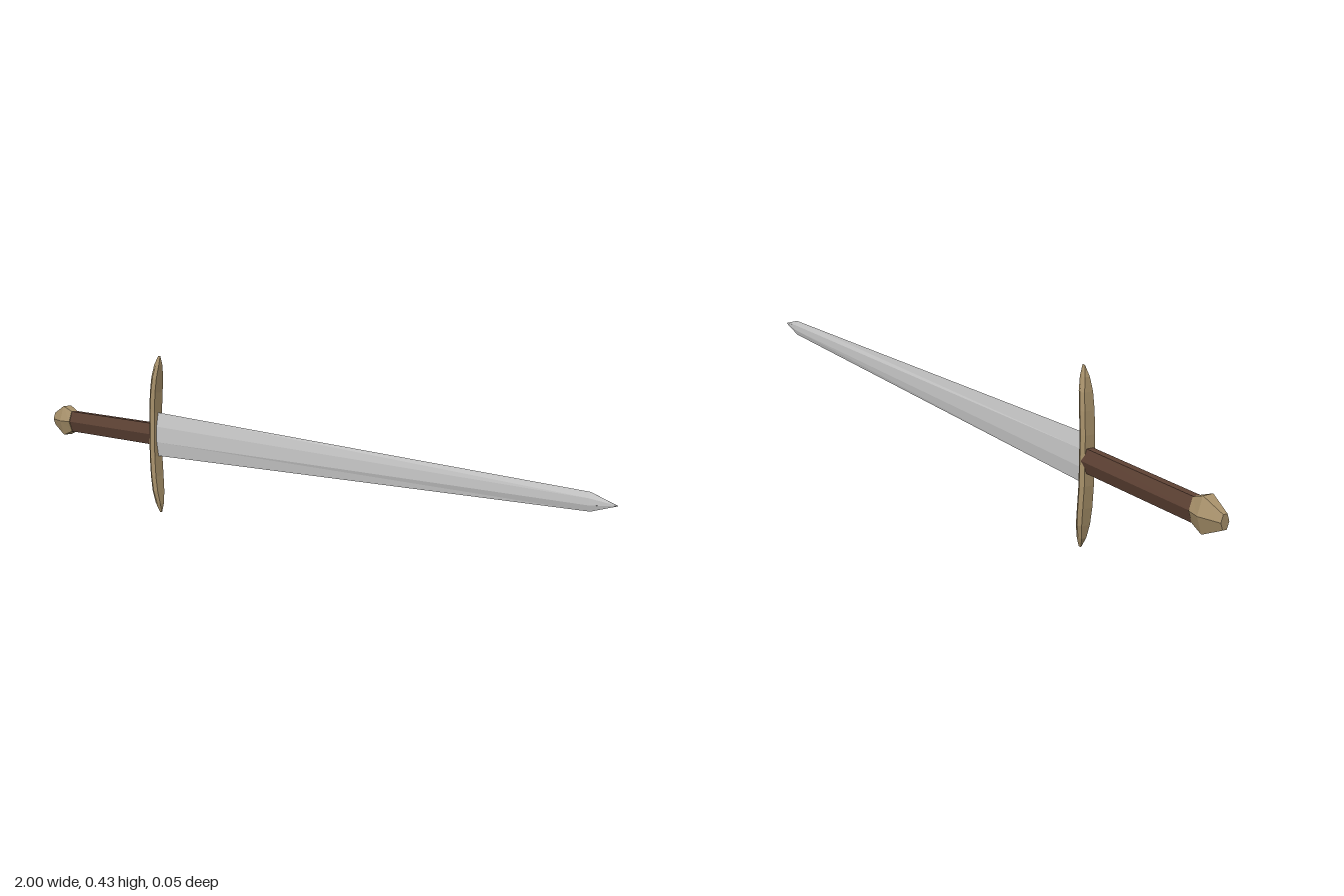
import * as THREE from 'three';

const AXIS_Y = 0.22; // height of the sword's long axis

// Six-sided section, counter-clockwise: points at +-u, flats at +-v
const hexagon = (u, v, flat) => [
  [u, 0], [u * flat, v], [-u * flat, v], [-u, 0], [-u * flat, -v], [u * flat, -v],
];

// Skins a row of equal-length rings of Vector3 and caps both ends
function loft(rings) {
  const points = [];
  const n = rings[0].length;
  const add = (...corners) => corners.forEach((p) => points.push(p.x, p.y, p.z));
  for (let r = 0; r < rings.length - 1; r++) {
    const a = rings[r], b = rings[r + 1];
    for (let i = 0; i < n; i++) {
      const j = (i + 1) % n;
      add(a[i], a[j], b[j]);
      add(a[i], b[j], b[i]);
    }
  }
  const first = rings[0], last = rings[rings.length - 1];
  for (let i = 1; i < n - 1; i++) {
    add(first[0], first[i + 1], first[i]);
    add(last[0], last[i], last[i + 1]);
  }
  const geometry = new THREE.BufferGeometry();
  geometry.setAttribute('position', new THREE.Float32BufferAttribute(points, 3));
  geometry.computeVertexNormals();
  return geometry;
}

// Stations [x, half height, half depth] along the sword
const alongX = (stations, flat) => loft(stations.map(([x, h, d]) =>
  hexagon(h, d, flat).map(([y, z]) => new THREE.Vector3(x, AXIS_Y + y, z))));

// Grip and pommel have their points at front and back, flats above and below
const handleX = (stations) => loft(stations.map(([x, h, d]) =>
  hexagon(d, h, 0.5).map(([z, y]) => new THREE.Vector3(x, AXIS_Y - y, z))));

export function createModel() {
  const sword = new THREE.Group();
  sword.name = 'sword';
  const material = (color) => new THREE.MeshStandardMaterial({ color, flatShading: true });
  const steel = material(0xcccccc);
  const brass = material(0xa8916a);
  const leather = material(0x5e4234);
  const add = (name, geometry, mat) => {
    const mesh = new THREE.Mesh(geometry, mat);
    mesh.name = name;
    sword.add(mesh);
  };

  // Tapering blade with a flat centre and bevelled edges
  add('blade', alongX([
    [-0.53, 0.06, 0.006],
    [0.93, 0.021, 0.004],
    [1, 0.0005, 0.0005],
  ], 0.36), steel);

  // Six-sided grip
  add('grip', handleX([[-0.92, 0.029, 0.018], [-0.53, 0.029, 0.018]]), leather);

  // Faceted pommel
  add('pommel', handleX([
    [-1, 0.017, 0.011],
    [-0.945, 0.042, 0.027],
    [-0.91, 0.029, 0.02],
  ]), brass);

  // Crossguard bowed toward the blade: [distance from axis, x, half depth, half thickness]
  const arm = [
    [0.06, -0.53, 0.019, 0.011],
    [0.115, -0.526, 0.019, 0.011],
    [0.157, -0.521, 0.0165, 0.011],
    [0.19, -0.516, 0.009, 0.01],
    [0.215, -0.511, 0.0005, 0.004],
  ];
  const mirrored = arm.map(([y, ...rest]) => [-y, ...rest]).reverse();
  add('crossguard', loft([...mirrored, ...arm].map(([y, x, d, t]) =>
    hexagon(d, t, 0.7).map(([z, dx]) => new THREE.Vector3(x + dx, AXIS_Y + y, z)))), brass);

  return sword;
}
